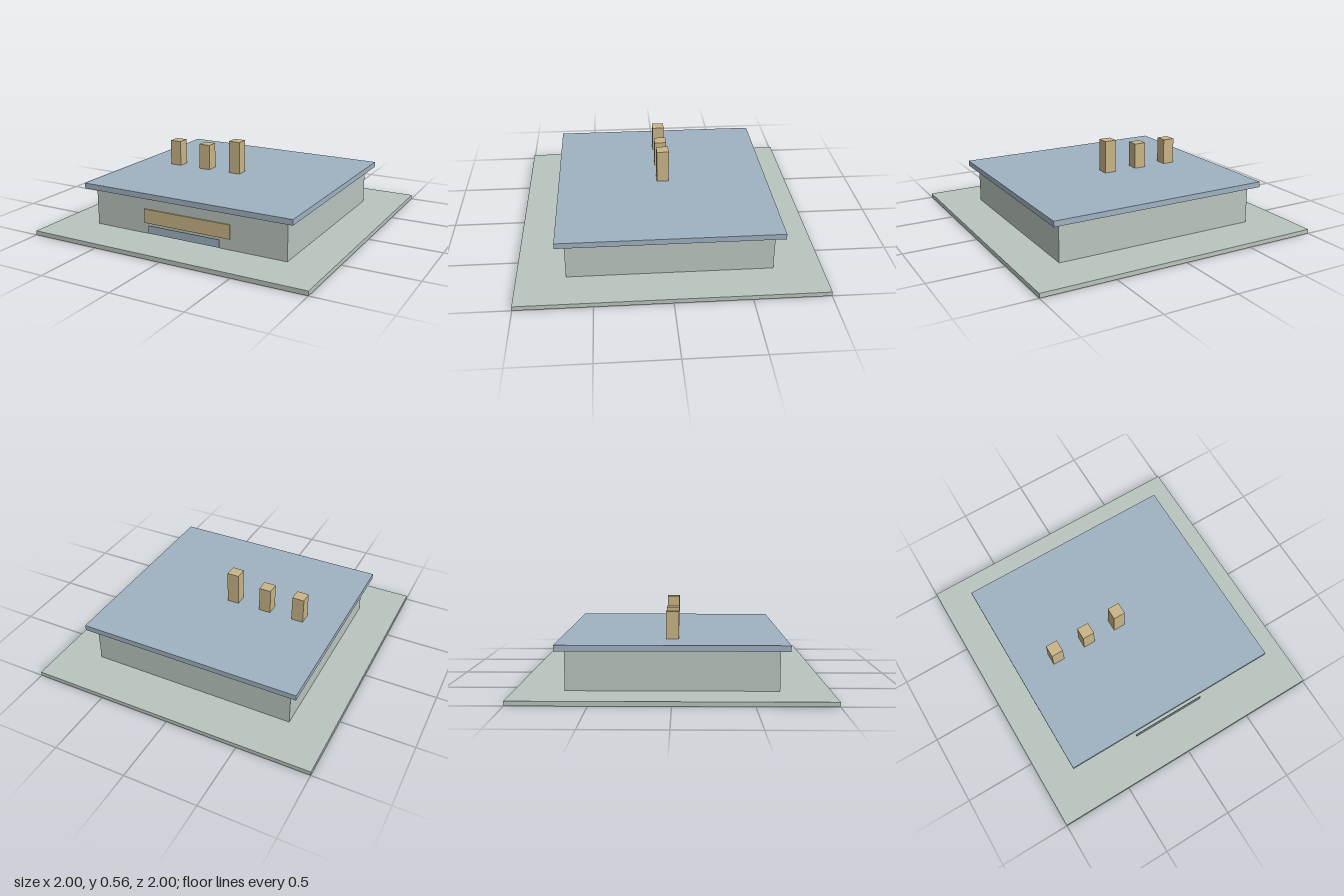
import * as THREE from 'three';

const material = (name, color) => {
  const m = new THREE.MeshStandardMaterial({ color });
  m.name = name;
  return m;
};

export function createModel() {
  const group = new THREE.Group();
  const stone = material('paleStone', 0xbac5be);
  const blue = material('slateBlue', 0x9fb2c1);
  const tan = material('warmTan', 0xc9b587);

  // Box centred on x and z, standing on the given bottom height
  const box = (name, mat, [w, h, d], [x, bottom, z]) => {
    const mesh = new THREE.Mesh(new THREE.BoxGeometry(w, h, d), mat);
    mesh.name = name;
    mesh.position.set(x, bottom + h / 2, z);
    group.add(mesh);
  };

  // Ground slab, walls and overhanging roof
  box('baseSlab', stone, [2, 0.03, 2], [0, 0, 0]);
  box('walls', stone, [1.44, 0.26, 1.355], [0, 0.03, 0]);
  box('roof', blue, [1.555, 0.038, 1.47], [0, 0.292, 0]);

  // Front panel and the narrower strip standing just ahead of it
  box('frontPanel', tan, [0.648, 0.097, 0.009], [0, 0.106, 0.686]);
  box('frontStrip', blue, [0.54, 0.054, 0.005], [0, 0.052, 0.723]);

  // Rooftop chimneys, the middle one taller
  [[-0.49, 0.18], [-0.245, 0.18], [0, 0.23]].forEach(([x, h], i) =>
    box(`chimney${i + 1}`, tan, [0.084, h, 0.084], [x, 0.33, 0]));

  return group;
}
